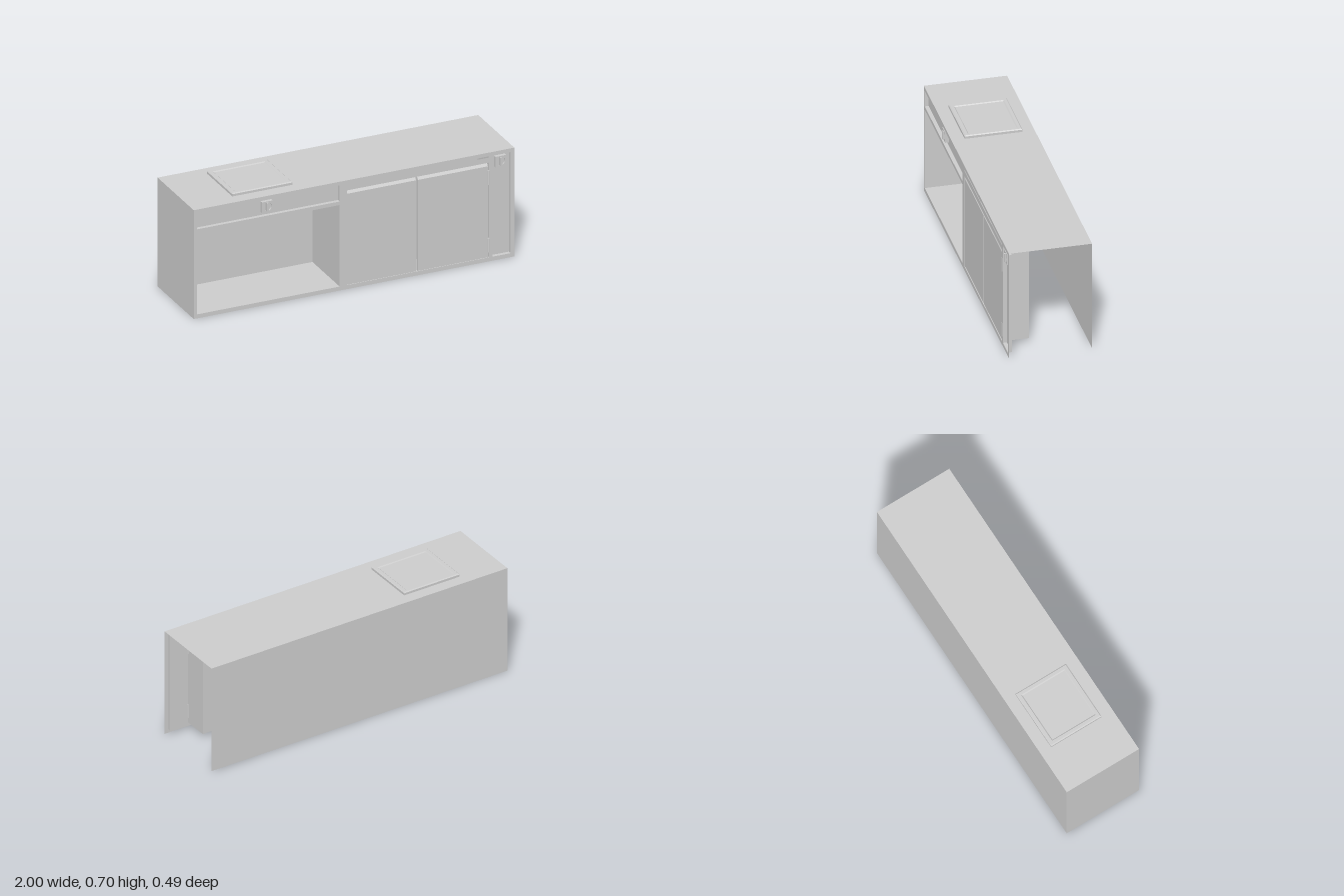
import * as THREE from 'three';

const material = new THREE.MeshStandardMaterial({ color: 0xcccccc, flatShading: true, side: THREE.DoubleSide });
const FRONT = 0.24, BACK = -0.245, TOP = 0.678;

function part(parent, name, geometry) {
  const mesh = new THREE.Mesh(geometry, material);
  mesh.name = name;
  parent.add(mesh);
  return mesh;
}

// Box between two corners; faces listed in "open" (px nx py ny pz nz) are left out
function box([x0, y0, z0], [x1, y1, z1], open = []) {
  const g = new THREE.BoxGeometry(x1 - x0, y1 - y0, z1 - z0);
  g.translate((x0 + x1) / 2, (y0 + y1) / 2, (z0 + z1) / 2);
  const index = Array.from(g.index.array);
  const faces = ['px', 'nx', 'py', 'ny', 'pz', 'nz'];
  g.setIndex(faces.flatMap((f, i) => (open.includes(f) ? [] : index.slice(i * 6, i * 6 + 6))));
  g.clearGroups();
  return g;
}

function corners(x0, x1, y0, y1) {
  return [[x0, y0], [x1, y0], [x1, y1], [x0, y1]].map(p => new THREE.Vector2(...p));
}

function sheet(outline, holes) {
  const shape = new THREE.Shape(corners(...outline));
  for (const h of holes) shape.holes.push(new THREE.Path(corners(...h)));
  return shape;
}

// Square plate with a round dish and an upright turning grip
function makeLatch(name, x, y) {
  const latch = new THREE.Group();
  latch.name = name;
  const plate = new THREE.Shape(corners(-0.033, 0.033, -0.033, 0.033));
  plate.holes.push(new THREE.Path().absarc(0, 0, 0.027, 0, Math.PI * 2, true));
  part(latch, 'latchPlate', new THREE.ExtrudeGeometry(plate, { depth: 0.021, bevelEnabled: false, curveSegments: 12 }));
  const dish = part(latch, 'latchDish', new THREE.CircleGeometry(0.027, 24));
  dish.position.z = 0.011;
  part(latch, 'latchGrip', box([-0.006, -0.026, 0.011], [0.006, 0.026, 0.03]));
  latch.position.set(x, y, 0.217);
  return latch;
}

export function createModel() {
  const counter = new THREE.Group();
  counter.name = 'kitchenCounter';

  // Outer shell, open underneath and at the left end
  part(counter, 'shell', box([-1, 0, BACK], [1, TOP, FRONT], ['px', 'py', 'ny', 'pz']));

  // Worktop with sink cutout
  const worktop = new THREE.ShapeGeometry(sheet([-1, 1, -FRONT, -BACK], [[-0.70, -0.37, -0.145, 0.152]]));
  worktop.rotateX(-Math.PI / 2).translate(0, TOP, 0);
  part(counter, 'worktop', worktop);

  // Front frame and its openings
  const cubby = [-0.98, -0.09, 0.025, 0.533];
  const drawer = [-0.98, -0.09, 0.555, 0.655];
  const doorway = [-0.045, 0.843, 0.025, 0.615];
  const slot = [-0.045, 0.843, 0.647, 0.655];
  const narrow = [0.862, 0.977, 0.025, 0.655];
  const frame = new THREE.ShapeGeometry(sheet([-1, 1, 0, TOP], [cubby, drawer, doorway, slot, narrow]));
  part(counter, 'frontFrame', frame.translate(0, 0, FRONT));

  // Compartments behind the openings
  const recesses = [
    ['openCompartment', cubby, -0.125],
    ['drawerFront', drawer, 0.217],
    ['doorCompartment', [-0.045, 0.843, 0.025, 0.655], 0.085],
    ['narrowPanel', narrow, 0.217],
  ];
  for (const [name, [x0, x1, y0, y1], z] of recesses) {
    part(counter, name, box([x0, y0, z], [x1, y1, FRONT], ['pz']));
  }

  // Doors with a sloped grip along the top edge
  const profile = [[0.236, 0.025], [0.236, 0.592], [0.222, 0.612], [0.216, 0.612], [0.216, 0.025]];
  const section = new THREE.Shape(profile.map(([z, y]) => new THREE.Vector2(-z, y)));
  for (const [name, x0, x1] of [['rightDoor', -0.045, 0.388], ['leftDoor', 0.4, 0.836]]) {
    const g = new THREE.ExtrudeGeometry(section, { depth: x1 - x0, bevelEnabled: false });
    part(counter, name, g.rotateY(Math.PI / 2).translate(x0, 0, 0));
  }

  // Hinges
  for (const y of [0.101, 0.522]) {
    const hinge = part(counter, 'hinge', new THREE.CylinderGeometry(0.006, 0.006, 0.086, 12));
    hinge.position.set(0.84, y, 0.237);
  }

  counter.add(makeLatch('drawerLatch', -0.54, 0.609), makeLatch('panelLatch', 0.916, 0.609));

  // Sink rim with a chamfered top edge
  const rim = sheet([-0.718, -0.355, -0.158, 0.168], [[-0.70, -0.373, -0.14, 0.152]]);
  const rimGeometry = new THREE.ExtrudeGeometry(rim, {
    depth: 0.014, bevelThickness: 0.005, bevelSize: 0.006, bevelSegments: 1,
  });
  rimGeometry.rotateX(-Math.PI / 2).translate(0, TOP, 0);
  part(counter, 'sinkRim', rimGeometry);

  // Lid set into the rim, with a gap at the back
  part(counter, 'sinkLid', box([-0.702, 0.68, -0.146], [-0.371, 0.692, 0.142]));

  // Basin, narrowing slightly towards the bottom
  const basin = box([-0.70, 0.625, -0.152], [-0.37, 0.69, 0.145], ['py']);
  const p = basin.attributes.position;
  for (let i = 0; i < p.count; i++) {
    if (p.getY(i) < 0.65) {
      p.setX(i, -0.535 + (p.getX(i) + 0.535) * 0.97);
      p.setZ(i, p.getZ(i) * 0.97);
    }
  }
  basin.computeVertexNormals();
  part(counter, 'sinkBasin', basin);

  return counter;
}
